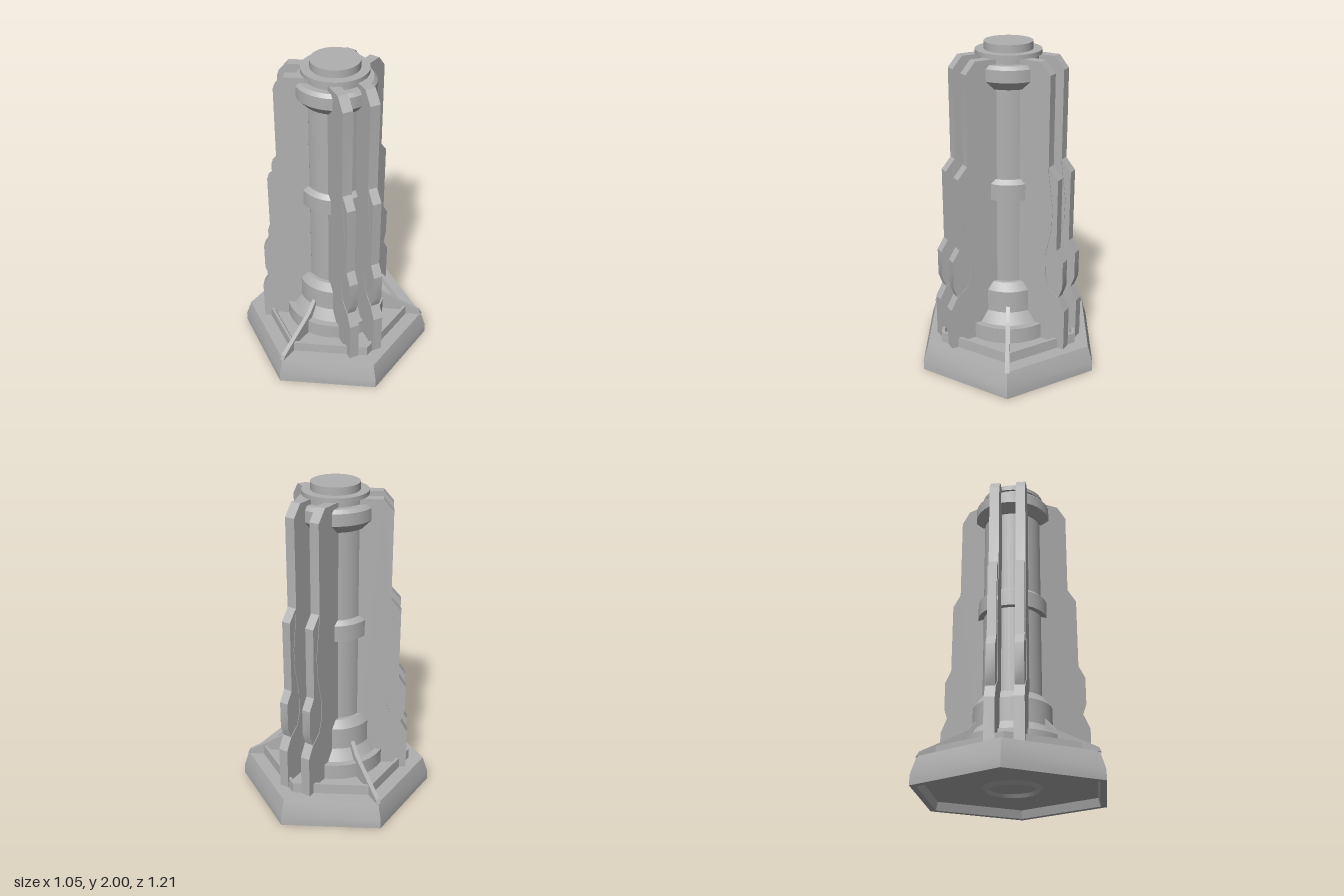
import * as THREE from 'three';
import { toCreasedNormals } from 'three/addons/utils/BufferGeometryUtils.js';

const stone = new THREE.MeshStandardMaterial({ color: 0xb0b0b0 });
stone.name = 'grey metal';

function add(parent, name, geo) {
  const mesh = new THREE.Mesh(toCreasedNormals(geo, 0.4), stone);
  mesh.name = name;
  parent.add(mesh);
  return mesh;
}

function lathe(points, sides) {
  return new THREE.LatheGeometry(points.map(([r, y]) => new THREE.Vector2(r, y)), sides);
}

// Flat plate: outline in (radial distance, height), centred on its thickness
function plate(points, thickness) {
  const shape = new THREE.Shape(points.map(([r, y]) => new THREE.Vector2(r, y)));
  const geo = new THREE.ExtrudeGeometry(shape, { depth: thickness, bevelEnabled: false });
  return geo.translate(0, 0, -thickness / 2);
}

export function createModel() {
  const model = new THREE.Group();
  model.name = 'tower';

  // Hexagonal foot, hollowed a little underneath
  add(model, 'hexBase', lathe([
    [0, 0.05], [0.55, 0.05], [0.565, 0], [0.605, 0], [0.605, 0.06], [0.57, 0.165], [0, 0.165],
  ], 6));
  add(model, 'undersideRing', lathe([[0.135, 0.055], [0.15, 0.03], [0.175, 0.055]], 48));

  // Hexagonal step with a raised rim
  add(model, 'hexStep', lathe([
    [0.479, 0.16], [0.475, 0.23], [0.455, 0.23], [0.44, 0.2], [0, 0.2],
  ], 6));

  // Central column with its footing, collars and cap
  add(model, 'columnFooting', lathe([
    [0.315, 0.19], [0.315, 0.3], [0.275, 0.3], [0.233, 0.37], [0.233, 0.51], [0.2, 0.56], [0.17, 0.56],
  ], 48));
  add(model, 'column', lathe([[0.177, 0.3], [0.177, 1.94]], 48));
  add(model, 'middleCollar', lathe([
    [0.17, 1.1], [0.21, 1.1], [0.21, 1.16], [0.21, 1.2], [0.185, 1.225], [0.17, 1.225],
  ], 48));
  add(model, 'topCollar', lathe([
    [0.17, 1.76], [0.188, 1.76], [0.233, 1.81], [0.233, 1.88], [0.215, 1.9], [0.17, 1.9],
  ], 48));
  add(model, 'capDisc', lathe([[0, 1.93], [0.192, 1.93], [0.192, 1.955], [0, 1.955]], 48));
  add(model, 'cap', lathe([[0.141, 1.95], [0.141, 2], [0, 2]], 48));

  // Buttress plate outlines
  const wall = [
    [0.14, 0.16], [0.455, 0.16], [0.455, 0.43], [0.41, 0.51], [0.345, 0.56], [0.32, 0.64],
    [0.32, 0.78], [0.355, 0.95], [0.36, 1.08], [0.33, 1.3], [0.33, 1.86], [0.27, 1.93], [0.14, 1.93],
  ];
  const edge = [
    [0.3, 0.5], [0.41, 0.51], [0.435, 0.58], [0.435, 0.75], [0.39, 0.82], [0.39, 1.26],
    [0.33, 1.33], [0.3, 1.3],
  ];
  // Sloping brace outline
  const braceOutline = [
    [0.2, 0.16], [0.575, 0.16], [0.56, 0.19], [0.32, 0.325], [0.29, 0.345], [0.215, 0.43], [0.2, 0.43],
  ];

  // Three twin buttresses with a brace opposite each
  for (let i = 0; i < 3; i++) {
    const angle = Math.PI / 2 + i * Math.PI * 2 / 3;
    const buttress = new THREE.Group();
    buttress.name = 'buttress';
    buttress.rotation.y = angle;
    for (const side of [-1, 1]) {
      add(buttress, 'buttressWall', plate(wall, 0.06)).position.z = side * 0.08;
      add(buttress, 'buttressEdge', plate(edge, 0.054)).position.z = side * 0.08;
    }
    model.add(buttress);

    add(model, 'brace', plate(braceOutline, 0.026)).rotation.y = angle + Math.PI;
  }
  return model;
}
